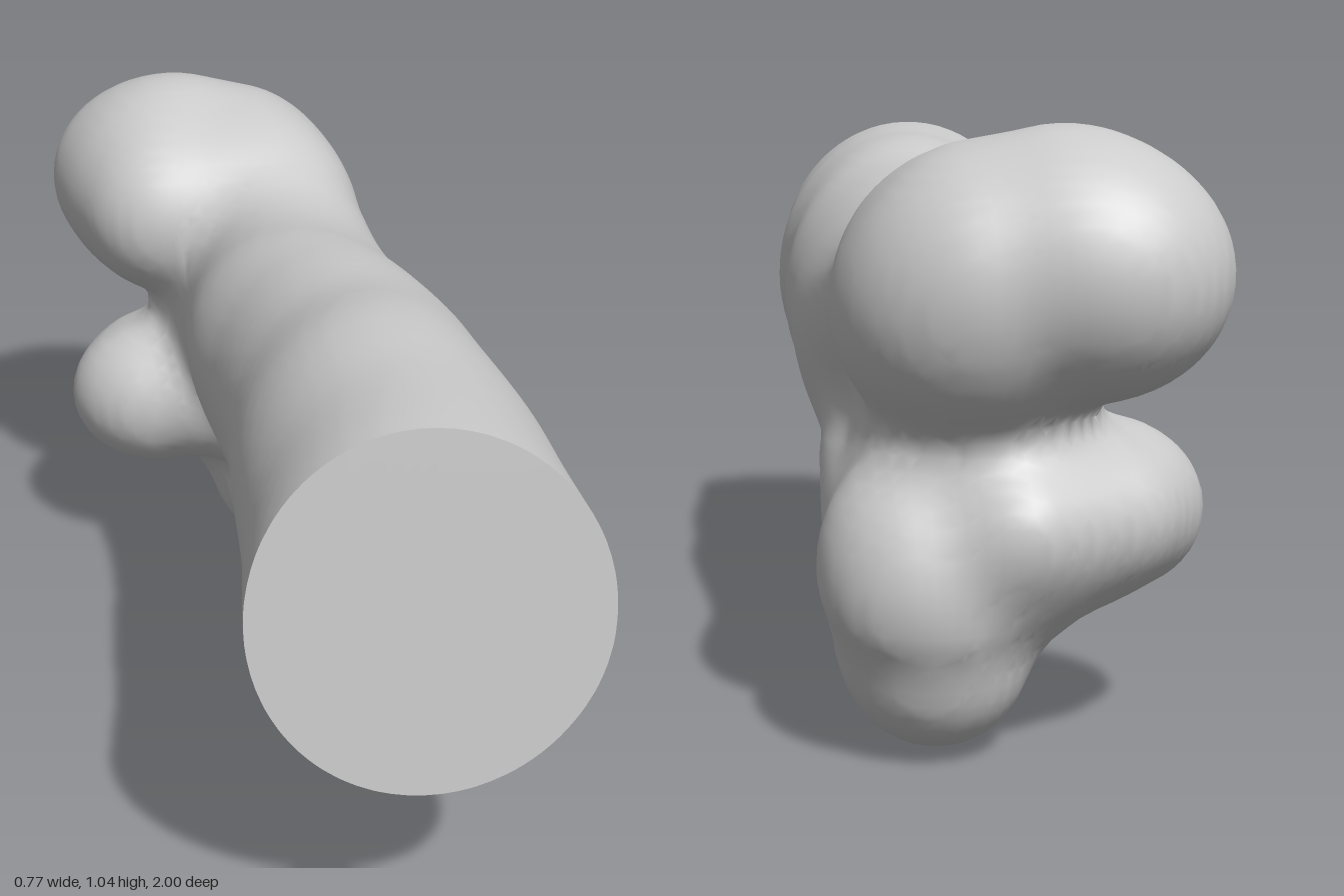
import * as THREE from 'three';
import { toCreasedNormals } from 'three/addons/utils/BufferGeometryUtils.js';

// Shaft cross-sections along z: centre x, centre y, radius x, radius y
const shaftZ = [-0.6, -0.4, -0.2, 0, 0.2, 0.4, 0.63, 0.83, 1.0];
const shaftSections = [
  0.08, 0.62, 0.14, 0.14,
  0.08, 0.64, 0.175, 0.20,
  0.065, 0.66, 0.215, 0.245,
  0.065, 0.655, 0.235, 0.278,
  0.045, 0.675, 0.25, 0.275,
  0.0, 0.685, 0.26, 0.30,
  -0.04, 0.68, 0.28, 0.31,
  -0.093, 0.685, 0.293, 0.315,
  -0.13, 0.69, 0.30, 0.312,
];
const shaftAt = new THREE.CubicInterpolant(
  new Float32Array(shaftZ), new Float32Array(shaftSections), 4);

// Tapered limbs of the knuckled end: [start, radius, end, radius]
const limbs = [
  // upper branch and upper condyle
  [[0.12, 0.65, 0.0], 0.17, [0.14, 0.765, -0.52], 0.2],
  [[0.0, 0.828, -0.735], 0.237, [0.1, 0.8, -0.71], 0.24],
  [[-0.065, 0.805, -0.615], 0.185, [-0.08, 0.815, -0.815], 0.185],
  [[0.11, 0.8, -0.6], 0.2, [0.15, 0.74, -0.67], 0.21],
  // lower branch and right lower condyle
  [[0.12, 0.5, 0.0], 0.15, [0.18, 0.3, -0.48], 0.165],
  [[0.16, 0.42, -0.2], 0.115, [0.2, 0.38, -0.62], 0.165],
  [[0.165, 0.14, -0.56], 0.143, [0.185, 0.165, -0.65], 0.15],
  [[0.185, 0.22, -0.63], 0.165, [0.195, 0.3, -0.665], 0.193],
  // left lower condyle, its root and the rear lip
  [[-0.15, 0.4, -0.6], 0.153, [0.03, 0.36, -0.66], 0.165],
  [[-0.09, 0.41, -0.53], 0.14, [0.08, 0.45, -0.4], 0.16],
  [[-0.1, 0.415, -0.72], 0.11, [0.07, 0.41, -0.785], 0.11],
  // core joining both condyles
  [[0.1, 0.55, -0.5], 0.175, [0.09, 0.53, -0.6], 0.185],
];

function limbDistance(x, y, z, [a, ra, b, rb]) {
  const ux = b[0] - a[0], uy = b[1] - a[1], uz = b[2] - a[2];
  const px = x - a[0], py = y - a[1], pz = z - a[2];
  const t = THREE.MathUtils.clamp(
    (px * ux + py * uy + pz * uz) / (ux * ux + uy * uy + uz * uz), 0, 1);
  return Math.hypot(px - ux * t, py - uy * t, pz - uz * t) - (ra + (rb - ra) * t);
}

function smoothMin(a, b, k) {
  const h = Math.max(k - Math.abs(a - b), 0) / k;
  return Math.min(a, b) - h * h * k / 4;
}

// Signed distance to the whole bone, negative inside
function bone(x, y, z) {
  const [cx, cy, rx, ry] = shaftAt.evaluate(z);
  const ring = (Math.hypot((x - cx) / rx, (y - cy) / ry) - 1) * Math.min(rx, ry);
  const shaft = Math.max(ring, -0.6 - z);
  let knuckles = 1;
  for (const limb of limbs) {
    knuckles = smoothMin(knuckles, limbDistance(x, y, z, limb), 0.09);
  }
  return smoothMin(shaft, knuckles + 0.015, 0.07);
}

// Slanted plane of the sawn end
const cutZ = (x, y) => 0.95 + 0.29 * x - 0.1 * (y - 0.69);

// Moves a point onto the surface; flat keeps it on the cut plane
function settle(p, flat) {
  const e = 0.001;
  for (let n = 0; n < 3; n++) {
    const d = bone(p.x, p.y, p.z);
    const gx = (bone(p.x + e, p.y, p.z) - d) / e;
    const gy = (bone(p.x, p.y + e, p.z) - d) / e;
    const gz = flat ? 0 : (bone(p.x, p.y, p.z + e) - d) / e;
    const s = d / Math.max(gx * gx + gy * gy + gz * gz, 0.2);
    p.x -= s * gx;
    p.y -= s * gy;
    p.z = flat ? cutZ(p.x, p.y) : p.z - s * gz;
  }
}

// Wraps the distance field in quads on a grid sheared to the cut plane
function wrapSurface() {
  const h = 0.025, size = [38, 48, 90], last = size[2] - 2;
  const step = [1, size[0], size[0] * size[1]];
  const gridPoint = (i, j, k) => {
    const x = -0.46 + i * h, y = -0.06 + j * h;
    return new THREE.Vector3(x, y, cutZ(x, y) + (k - last) * h);
  };
  const field = new Float32Array(step[2] * size[2]);
  const eachNode = (visit) => {
    for (let k = 0; k < size[2]; k++)
      for (let j = 0; j < size[1]; j++)
        for (let i = 0; i < size[0]; i++)
          visit(i, j, k, i + j * step[1] + k * step[2]);
  };
  eachNode((i, j, k, id) => {
    const p = gridPoint(i, j, k);
    field[id] = k > last ? h : bone(p.x, p.y, p.z);
  });

  // One vertex in each cell the surface passes through
  const positions = [], vertexOf = new Map();
  eachNode((i, j, k, id) => {
    if (i > size[0] - 2 || j > size[1] - 2 || k > last) return;
    const sum = new THREE.Vector3();
    let crossings = 0, lowerInside = 0;
    for (let c = 0; c < 8; c++) {
      const o = [c & 1, (c >> 1) & 1, c >> 2];
      const from = id + o[0] + o[1] * step[1] + o[2] * step[2];
      if (c < 4 && field[from] < 0) lowerInside++;
      for (let axis = 0; axis < 3; axis++) {
        const a = field[from], b = field[from + step[axis]];
        if (o[axis] || (a < 0) === (b < 0)) continue;
        const at = [i + o[0], j + o[1], k + o[2]];
        at[axis] += a / (a - b);
        sum.add(gridPoint(...at));
        crossings++;
      }
    }
    if (!crossings) return;
    const p = sum.divideScalar(crossings);
    const onCut = k === last;
    if (onCut) p.z = cutZ(p.x, p.y);
    if (!onCut || lowerInside < 4) settle(p, onCut);
    vertexOf.set(id, positions.length / 3);
    positions.push(p.x, p.y, p.z);
  });

  // One quad around each grid edge that crosses the surface
  const index = [];
  eachNode((i, j, k, id) => {
    const at = [i, j, k];
    for (let axis = 0; axis < 3; axis++) {
      if (at[axis] > size[axis] - 2) continue;
      const inside = field[id] < 0;
      if (inside === (field[id + step[axis]] < 0)) continue;
      const b = step[(axis + 1) % 3], c = step[(axis + 2) % 3];
      const q = [id - b - c, id - c, id, id - b].map((cell) => vertexOf.get(cell));
      if (!inside) q.reverse();
      index.push(q[0], q[1], q[2], q[0], q[2], q[3]);
    }
  });
  const geometry = new THREE.BufferGeometry();
  geometry.setAttribute('position', new THREE.Float32BufferAttribute(positions, 3));
  geometry.setIndex(index);
  return toCreasedNormals(geometry, 0.9);
}

export function createModel() {
  const group = new THREE.Group();
  group.name = 'boneEnd';
  const mesh = new THREE.Mesh(
    wrapSurface(), new THREE.MeshStandardMaterial({ color: 0xcccccc }));
  mesh.name = 'shaftAndCondyles';
  group.add(mesh);
  return group;
}
